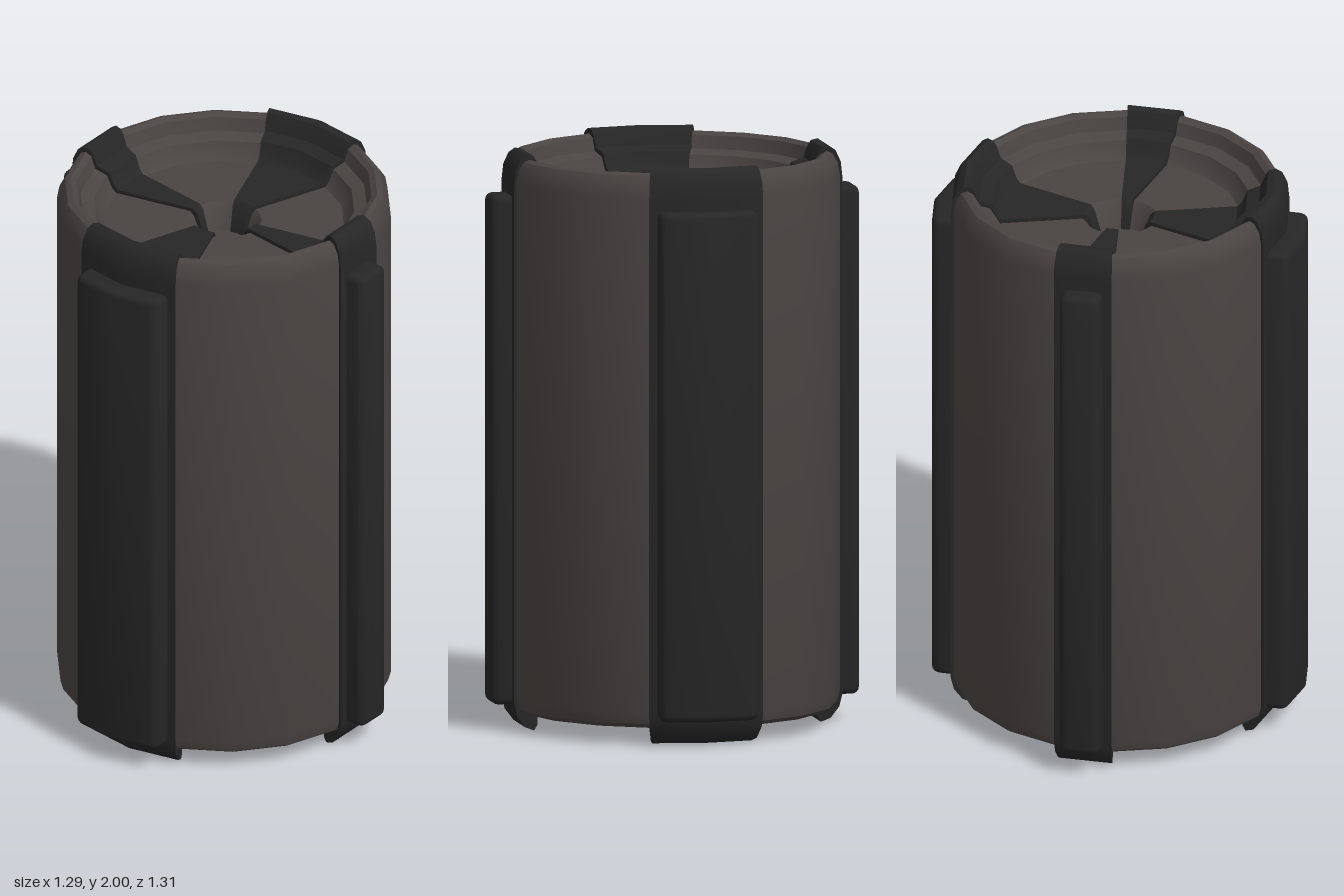
import * as THREE from 'three';
import { toCreasedNormals } from 'three/addons/utils/BufferGeometryUtils.js';

const DEG = Math.PI / 180;
const shellMat = new THREE.MeshStandardMaterial({ color: 0x4a4442 });
const darkMat = new THREE.MeshStandardMaterial({ color: 0x262626, side: THREE.DoubleSide });

const toPoints = (list) => list.map(([r, y]) => new THREE.Vector2(r, y));

function addMesh(parent, name, geometry, material) {
  const mesh = new THREE.Mesh(geometry, material);
  mesh.name = name;
  parent.add(mesh);
  return mesh;
}

// Shell profile: underside, wall, rounded rim, stepped recess, centre socket
const shellProfile = toPoints([
  [0, 0.06], [0.545, 0.06], [0.567, 0.075], [0.577, 0.11],
  [0.577, 1.9], [0.569, 1.945], [0.55, 1.975], [0.53, 1.982],
  [0.51, 1.97], [0.495, 1.925], [0.45, 1.91], [0.43, 1.865], [0.415, 1.85],
  [0.13, 1.85], [0.115, 1.835], [0.088, 1.76], [0, 1.76],
]);

// Band profile: foot, wall, rim and recess, all standing just proud of the shell
const bandProfile = toPoints([
  [0.5, 0.1], [0.5, 0.02], [0.512, 0.002], [0.545, 0.015], [0.575, 0.055], [0.586, 0.1],
  [0.586, 1.89], [0.58, 1.945], [0.562, 1.985], [0.54, 2], [0.515, 1.995],
  [0.502, 1.975], [0.487, 1.938], [0.442, 1.923], [0.422, 1.878], [0.407, 1.863],
  [0.12, 1.863], [0.104, 1.848], [0.078, 1.77], [0.078, 1.7],
]);

// Band wrapping one sector of the shell, closed at both sides
function makeBand(angle, halfAngle, segments) {
  const band = new THREE.Group();
  const start = angle - halfAngle;
  const skin = new THREE.LatheGeometry(bandProfile, segments, start * DEG, 2 * halfAngle * DEG);
  addMesh(band, 'bandSkin', toCreasedNormals(skin, 0.6), darkMat);
  for (const a of [start, angle + halfAngle]) {
    const side = new THREE.ShapeGeometry(new THREE.Shape(bandProfile));
    addMesh(band, 'bandSide', side, darkMat).rotation.y = (a - 90) * DEG;
  }
  return band;
}

// Raised pad with rounded edges; its face comes to a shallow ridge at the middle
function makePad(angle, halfWidth, edge, ridge) {
  const r = 0.03, inner = 0.52, slope = (ridge - edge) / halfWidth;
  const shape = new THREE.Shape();
  shape.moveTo(-halfWidth, inner);
  shape.lineTo(halfWidth, inner);
  shape.lineTo(halfWidth, edge - r);
  shape.quadraticCurveTo(halfWidth, edge, halfWidth - r, edge + slope * r);
  shape.lineTo(0, ridge);
  shape.lineTo(-halfWidth + r, edge + slope * r);
  shape.quadraticCurveTo(-halfWidth, edge, -halfWidth, edge - r);
  const bevel = 0.025, bottom = 0.09, top = 1.855;
  const geometry = new THREE.ExtrudeGeometry(shape, {
    depth: top - bottom - 2 * bevel, curveSegments: 4,
    bevelSize: bevel, bevelThickness: bevel, bevelOffset: -bevel, bevelSegments: 4,
  });
  geometry.rotateX(-Math.PI / 2);
  geometry.translate(0, bottom + bevel, 0);
  geometry.rotateY((angle + 180) * DEG);
  return toCreasedNormals(geometry, 0.6);
}

export function createModel() {
  const model = new THREE.Group();
  model.name = 'canister';

  const shell = new THREE.LatheGeometry(shellProfile, 18);
  addMesh(model, 'shell', toCreasedNormals(shell, 0.6), shellMat);

  // Wide bands front and back, narrow ones at the sides
  const sides = [['front', 0], ['left', 90], ['back', 180], ['right', 270]];
  for (const [name, angle] of sides) {
    const wide = angle % 180 === 0;
    const band = makeBand(angle, wide ? 20 : 10, wide ? 2 : 1);
    band.name = name + 'Band';
    model.add(band);
    const pad = wide ? makePad(angle, 0.173, 0.625, 0.655) : makePad(angle, 0.07, 0.647, 0.647);
    addMesh(model, name + 'Pad', pad, darkMat);
  }
  return model;
}
